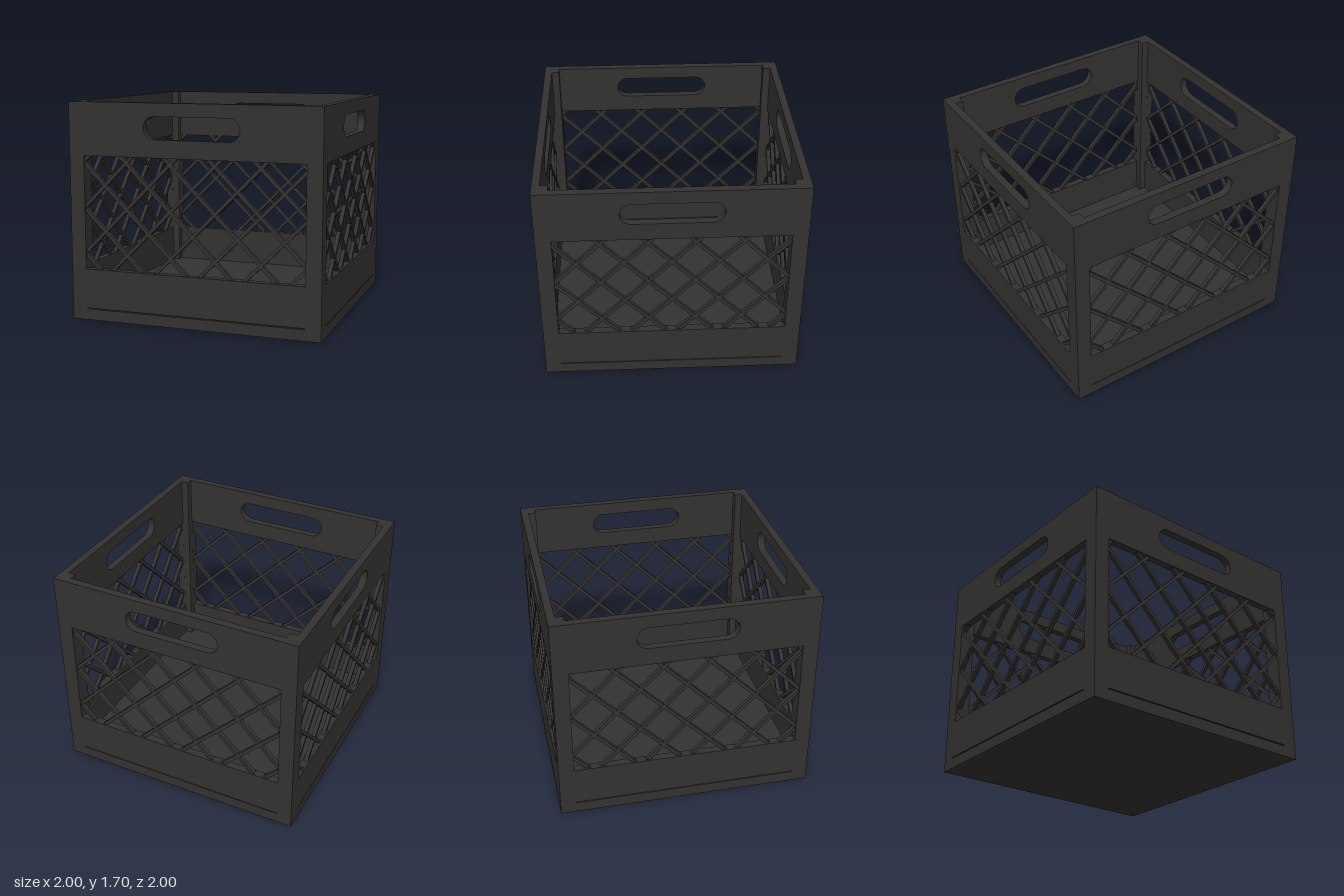
import * as THREE from 'three';

const H = 1.7;          // crate height
const WALL = 0.06;      // wall thickness
const POST = 0.12;      // corner post width
const IN = 1 - POST;    // half width between posts
const WIN_LO = 0.405, WIN_HI = 1.29;

const plastic = new THREE.MeshStandardMaterial({ color: 0x343230, roughness: 0.8 });

function part(name, geometry, x = 0, y = 0, z = 0) {
  const mesh = new THREE.Mesh(geometry, plastic);
  mesh.name = name;
  mesh.position.set(x, y, z);
  return mesh;
}

function rectPath(x0, y0, x1, y1, Type = THREE.Path) {
  const p = new Type();
  p.moveTo(x0, y0).lineTo(x1, y0).lineTo(x1, y1).lineTo(x0, y1).closePath();
  return p;
}

// Wall panel with lattice window, rounded hand hole and a fine groove at floor level
function wallGeometry() {
  const shape = rectPath(-IN, 0, IN, H, THREE.Shape);
  const handle = new THREE.Path();
  handle.absarc(0.295, 1.513, 0.086, -Math.PI / 2, Math.PI / 2, false);
  handle.absarc(-0.295, 1.513, 0.086, Math.PI / 2, Math.PI * 1.5, false);
  handle.closePath();
  shape.holes.push(
    rectPath(-IN, WIN_LO, IN, WIN_HI).getPoints().length ? rectPath(-IN + 0.0005, WIN_LO, IN - 0.0005, WIN_HI) : null,
    handle,
    rectPath(-IN + 0.001, 0.086, IN - 0.001, 0.094)
  );
  return new THREE.ExtrudeGeometry(shape, { depth: WALL, bevelEnabled: false, curveSegments: 6 });
}

// Crossing diagonal bars, each cut to the window and tucked into the frame
function lattice() {
  const group = new THREE.Group();
  group.name = 'lattice';
  for (const slope of [1, -1]) {
    for (let k = -4; k <= 5; k++) {
      const c = 0.706 + 0.357 * k;
      // Bar follows y = c + u, with u = slope * x
      const u0 = Math.max(-IN, WIN_LO - c), u1 = Math.min(IN, WIN_HI - c);
      if (u1 - u0 < 0.02) continue;
      const mid = (u0 + u1) / 2;
      const length = (u1 - u0) * Math.SQRT2 + 0.03;
      const bar = part('latticeBar', new THREE.BoxGeometry(length, 0.027, 0.032), slope * mid, c + mid, 1 - WALL / 2);
      bar.rotation.z = slope * Math.PI / 4;
      group.add(bar);
    }
  }
  return group;
}

export function createModel() {
  const crate = new THREE.Group();
  crate.name = 'crate';

  // Four identical sides
  const panel = wallGeometry();
  ['front', 'left', 'back', 'right'].forEach((name, i) => {
    const side = new THREE.Group();
    side.name = name + 'Side';
    side.add(part('wallPanel', panel, 0, 0, 1 - WALL), lattice());
    side.rotation.y = i * Math.PI / 2;
    crate.add(side);
  });

  // Corner posts
  const post = new THREE.BoxGeometry(POST, H, POST);
  for (const x of [-1, 1])
    for (const z of [-1, 1])
      crate.add(part('cornerPost', post, x * (1 - POST / 2), H / 2, z * (1 - POST / 2)));

  // Solid floor, its edge lying just behind the groove
  crate.add(part('floor', new THREE.BoxGeometry(1.97, 0.1, 1.97), 0, 0.05, 0));
  return crate;
}
